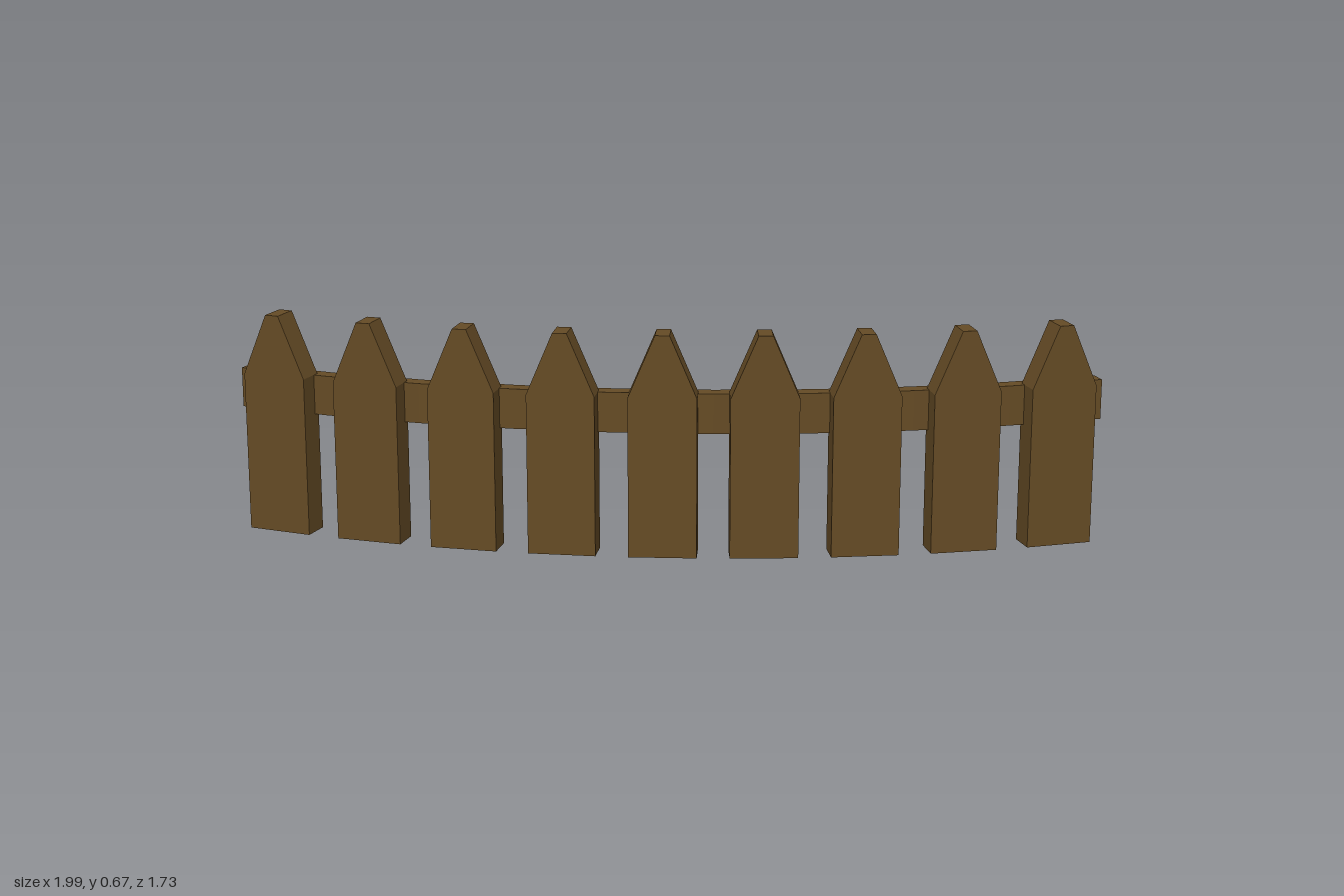
import * as THREE from 'three';

const COUNT = 9;
const STEP = THREE.MathUtils.degToRad(4.66);
const MIDDLE = THREE.MathUtils.degToRad(40.6);
const RADIUS = 3.6;
const CENTER = { x: 2.186, z: -2.54 };

// Point on a circle around the fence's centre of curvature
function arcPoint(radius, angle) {
  return { x: CENTER.x - radius * Math.sin(angle), z: CENTER.z + radius * Math.cos(angle) };
}

// Pointed board with a blunt tip, standing on y = 0
function picketGeometry() {
  const w = 0.1, tip = 0.021, depth = 0.083;
  const shape = new THREE.Shape([
    new THREE.Vector2(-w, 0), new THREE.Vector2(w, 0), new THREE.Vector2(w, 0.48),
    new THREE.Vector2(tip, 0.665), new THREE.Vector2(-tip, 0.665), new THREE.Vector2(-w, 0.48),
  ]);
  const geometry = new THREE.ExtrudeGeometry(shape, { depth, bevelEnabled: false });
  return geometry.translate(0, 0, -depth / 2);
}

// Faceted curved rail, one straight segment behind each picket
function railGeometry() {
  const outer = [], inner = [];
  for (let i = 0; i <= COUNT; i++) {
    const angle = MIDDLE + (COUNT / 2 - i) * STEP;
    const a = arcPoint(3.583, angle), b = arcPoint(3.535, angle);
    outer.push(new THREE.Vector2(a.x, -a.z));
    inner.unshift(new THREE.Vector2(b.x, -b.z));
  }
  const shape = new THREE.Shape([...outer, ...inner]);
  const geometry = new THREE.ExtrudeGeometry(shape, { depth: 0.12, bevelEnabled: false });
  return geometry.rotateX(-Math.PI / 2).translate(0, 0.36, 0);
}

export function createModel() {
  const group = new THREE.Group();
  group.name = 'curvedFence';
  const wood = new THREE.MeshStandardMaterial({ color: 0x654b25 });
  wood.name = 'brownWood';

  // Pickets spaced evenly along the arc, facing outwards
  const board = picketGeometry();
  for (let i = 0; i < COUNT; i++) {
    const angle = MIDDLE + ((COUNT - 1) / 2 - i) * STEP;
    const p = arcPoint(RADIUS, angle);
    const picket = new THREE.Mesh(board, wood);
    picket.name = `picket${i + 1}`;
    picket.position.set(p.x, 0, p.z);
    picket.rotation.y = -angle;
    group.add(picket);
  }

  const rail = new THREE.Mesh(railGeometry(), wood);
  rail.name = 'rail';
  group.add(rail);
  return group;
}
